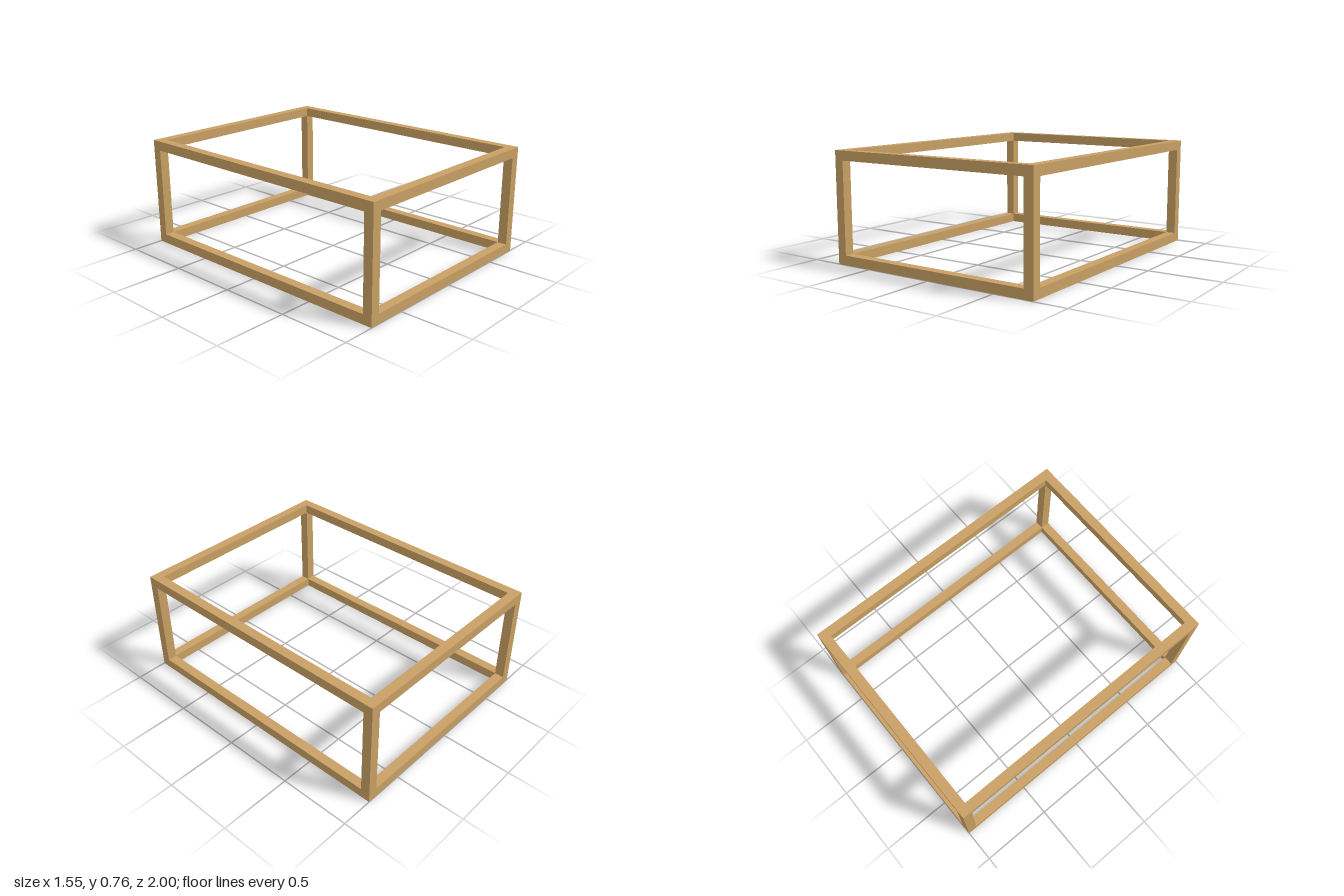
import * as THREE from 'three';

const W = 1.554, H = 0.763, D = 2, T = 0.066; // outer size and bar thickness

export function createModel() {
  const model = new THREE.Group();
  model.name = 'boxFrame';
  const wood = new THREE.MeshStandardMaterial({ color: 0xc8a064 });
  wood.name = 'lightWood';

  const bar = (name, size, position) => {
    const mesh = new THREE.Mesh(new THREE.BoxGeometry(...size), wood);
    mesh.name = name;
    mesh.position.set(...position);
    model.add(mesh);
  };

  const x = (W - T) / 2, z = (D - T) / 2;

  // Top and bottom rectangles: full-depth side rails with cross rails between them
  for (const [level, y] of [['bottom', T / 2], ['top', H - T / 2]]) {
    for (const [side, s] of [['Left', 1], ['Right', -1]]) {
      bar(level + side + 'Rail', [T, T, D], [s * x, y, 0]);
    }
    for (const [end, s] of [['Front', 1], ['Back', -1]]) {
      bar(level + end + 'Rail', [W - 2 * T, T, T], [0, y, s * z]);
    }
  }

  // Corner posts between the two rectangles
  for (const [end, sz] of [['front', 1], ['back', -1]]) {
    for (const [side, sx] of [['Left', 1], ['Right', -1]]) {
      bar(end + side + 'Post', [T, H - 2 * T, T], [sx * x, H / 2, sz * z]);
    }
  }
  return model;
}
